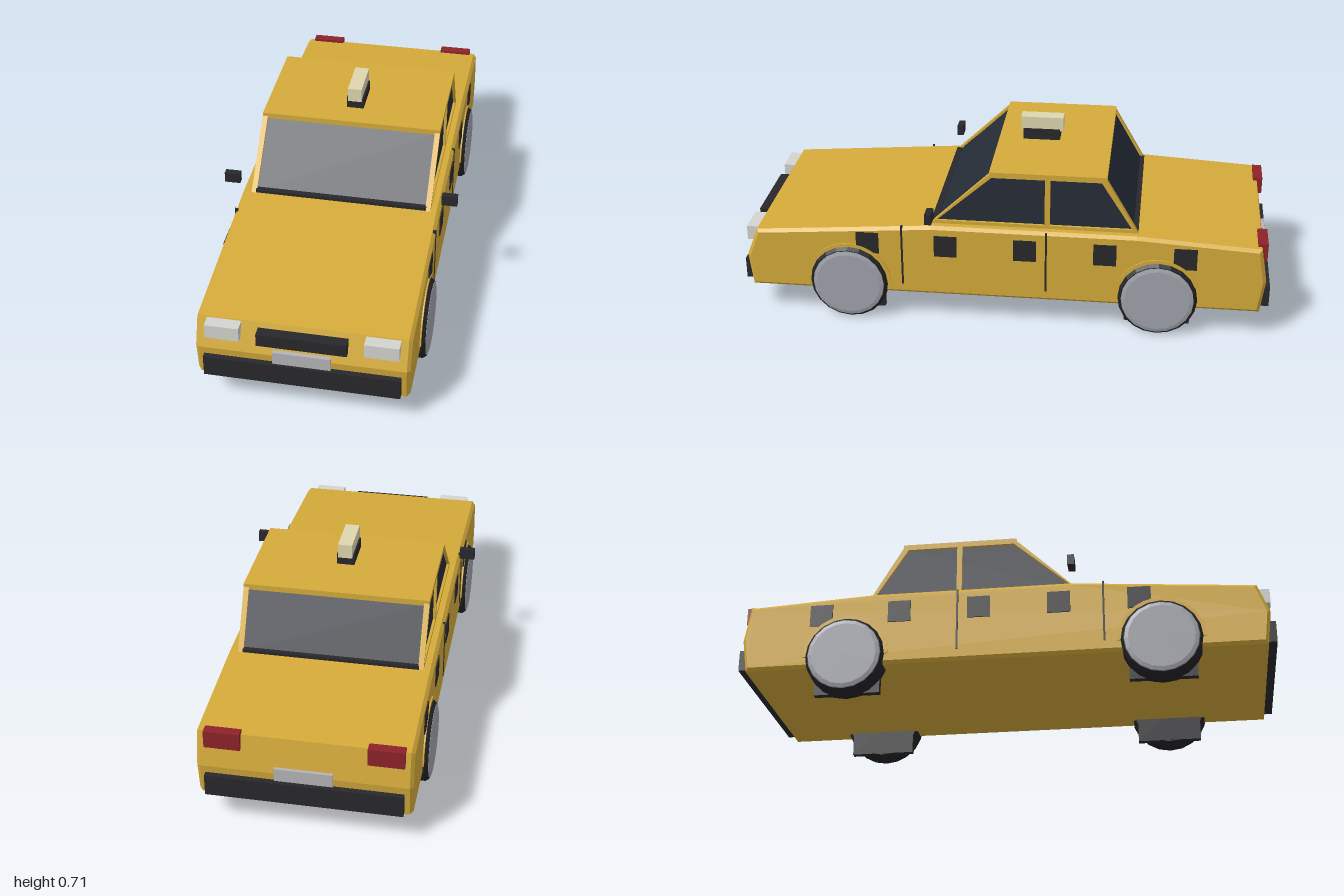
import * as THREE from 'three';

const mat = (color, side = THREE.FrontSide) =>
  new THREE.MeshStandardMaterial({ color, side, flatShading: true });
const paint = mat(0xd4aa3a);
const dark = mat(0x28282c);
const rubber = mat(0x222226);
const glass = mat(0x262c37);
const chrome = mat(0xb4b4b6);
const lamp = mat(0xd2d4cf);
const red = mat(0x8c2228);
const cream = mat(0xded6ae);
const hubGrey = mat(0xa0a2aa);

export function createModel() {
  const car = new THREE.Group();
  car.name = 'taxi';

  const add = (name, geometry, material, x = 0, y = 0, z = 0) => {
    const mesh = new THREE.Mesh(geometry, material);
    mesh.name = name;
    mesh.position.set(x, y, z);
    car.add(mesh);
    return mesh;
  };
  // Box given by its limits on each axis
  const box = (name, material, [x0, x1], [y0, y1], [z0, z1]) =>
    add(name, new THREE.BoxGeometry(x1 - x0, y1 - y0, z1 - z0), material,
      (x0 + x1) / 2, (y0 + y1) / 2, (z0 + z1) / 2);
  const pair = (name, material, [x0, x1], ys, zs) => {
    box(name + 'Left', material, [x0, x1], ys, zs);
    box(name + 'Right', material, [-x1, -x0], ys, zs);
  };
  const points = (list) => list.map(([z, y]) => new THREE.Vector2(z, y));
  // Side profile in (z, y), extruded across x and centred
  const profile = (shape, width, bevel = 0) => {
    const g = new THREE.ExtrudeGeometry(shape, {
      depth: width - 2 * bevel, bevelEnabled: bevel > 0, bevelThickness: bevel,
      bevelSize: bevel, bevelOffset: -bevel, bevelSegments: 1, curveSegments: 8,
    });
    g.translate(0, 0, -(width - 2 * bevel) / 2);
    return g.rotateY(-Math.PI / 2);
  };

  // Lower body
  const bodyShape = new THREE.Shape(points([
    [-0.965, 0.113], [0.968, 0.113], [0.983, 0.24], [0.94, 0.35],
    [0.27, 0.402], [-0.5, 0.402], [-0.96, 0.375], [-0.983, 0.24],
  ]));
  add('body', profile(bodyShape, 0.76, 0.012), paint);

  // Cabin: dark glass core, painted side frames with two windows, roof slab
  const core = new THREE.Shape(points([[0.262, 0.4], [0.046, 0.606], [-0.376, 0.606], [-0.494, 0.4]]));
  add('cabinGlass', profile(core, 0.67), glass);
  const frame = new THREE.Shape(points([[0.275, 0.4], [0.055, 0.61], [-0.383, 0.61], [-0.505, 0.4]]));
  frame.holes.push(
    new THREE.Path(points([[0.252, 0.415], [0.04, 0.603], [-0.155, 0.603], [-0.155, 0.415]])),
    new THREE.Path(points([[-0.175, 0.415], [-0.175, 0.603], [-0.362, 0.603], [-0.482, 0.415]])));
  for (const s of [1, -1]) {
    add(s > 0 ? 'windowFrameLeft' : 'windowFrameRight', profile(frame, 0.02), paint, s * 0.335);
  }
  box('roof', paint, [-0.345, 0.345], [0.6, 0.622], [-0.383, 0.052]);
  box('windscreenSeal', dark, [-0.328, 0.328], [0.4, 0.414], [0.25, 0.272]);
  box('rearWindowSeal', dark, [-0.328, 0.328], [0.4, 0.414], [-0.504, -0.485]);

  // Roof sign
  box('signBase', dark, [-0.033, 0.033], [0.626, 0.668], [-0.183, -0.042]);
  box('signLight', cream, [-0.027, 0.027], [0.66, 0.715], [-0.195, -0.033]);

  // Front and rear fittings
  box('frontBumper', dark, [-0.35, 0.35], [0.128, 0.21], [0.96, 1]);
  box('rearBumper', dark, [-0.35, 0.35], [0.128, 0.21], [-1, -0.96]);
  box('grille', dark, [-0.16, 0.16], [0.28, 0.33], [0.93, 0.987]);
  box('frontPlate', chrome, [-0.103, 0.103], [0.21, 0.26], [0.96, 0.991]);
  box('rearPlate', chrome, [-0.103, 0.103], [0.215, 0.265], [-0.991, -0.96]);
  pair('headlight', lamp, [0.22, 0.342], [0.289, 0.345], [0.93, 0.987]);
  pair('tailLight', red, [0.222, 0.35], [0.32, 0.386], [-0.982, -0.945]);
  pair('mirror', dark, [0.386, 0.445], [0.443, 0.484], [0.255, 0.28]);

  // Checker squares and door seams along both sides
  [0.512, 0.215, -0.084, -0.384, -0.682].forEach((z, i) =>
    pair('checker' + (i + 1), dark, [0.37, 0.384], [0.28, 0.365], [z - 0.043, z + 0.043]));
  pair('frontDoorSeam', dark, [0.37, 0.383], [0.155, 0.398], [0.377, 0.384]);
  pair('rearDoorSeam', dark, [0.37, 0.383], [0.155, 0.398], [-0.168, -0.161]);

  // Wheels, profiles turned about the axle (radius, offset along x)
  const lathe = (list) => new THREE.LatheGeometry(
    list.map(([r, x]) => new THREE.Vector2(r, x)), 20).rotateZ(-Math.PI / 2);
  const tyre = lathe([[0, -0.047], [0.138, -0.047], [0.149, -0.036], [0.149, 0.032], [0.139, 0.045], [0, 0.045]]);
  const hub = lathe([[0.138, 0.03], [0.136, 0.046], [0.122, 0.05], [0, 0.05]]);
  const archShape = new THREE.Shape();
  archShape.absarc(0, 0, 0.162, 0, Math.PI, false);
  archShape.absarc(0, 0, 0.135, Math.PI, 0, true);
  const arch = profile(archShape, 0.03);

  for (const [end, z] of [['front', 0.588], ['rear', -0.585]]) {
    for (const s of [1, -1]) {
      const name = end + (s > 0 ? 'Left' : 'Right');
      const turn = s > 0 ? 0 : Math.PI;
      add(name + 'Tyre', tyre, rubber, s * 0.353, 0.153, z).rotation.y = turn;
      add(name + 'Hub', hub, hubGrey, s * 0.353, 0.153, z).rotation.y = turn;
      add(name + 'Arch', arch, paint, s * 0.37, 0.153, z);
    }
    pair(end + 'WheelHousing', dark, [0.304, 0.33], [0.02, 0.25], [z - 0.124, z + 0.124]);
  }
  return car;
}
